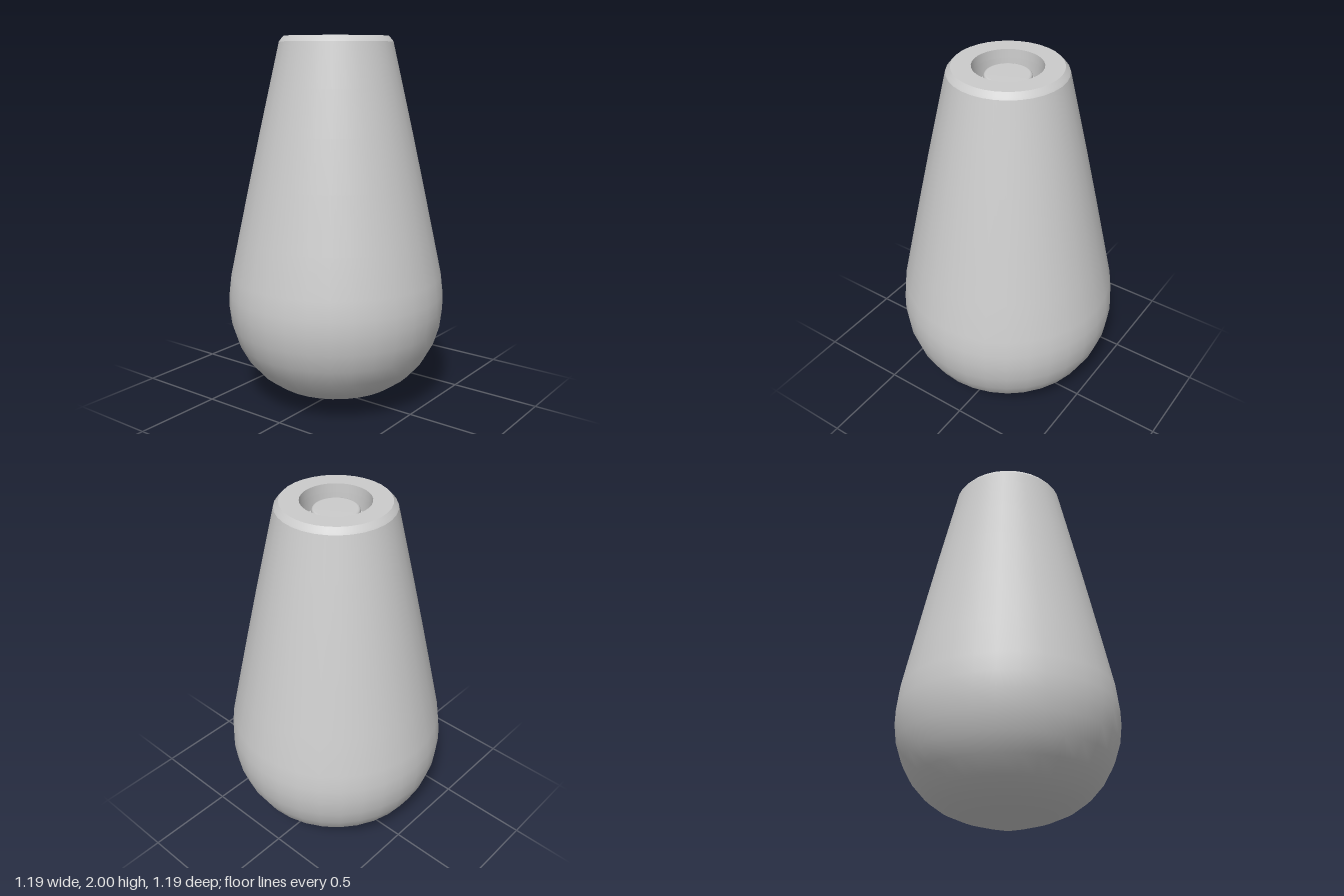
import * as THREE from 'three';

const SEGMENTS = 32;

export function createModel() {
  const group = new THREE.Group();
  const material = new THREE.MeshStandardMaterial({ color: 0xcccccc, side: THREE.DoubleSide });

  // Spin a profile of [radius, height] pairs about the vertical axis
  function lathe(name, profile) {
    const points = profile.map(([r, y]) => new THREE.Vector2(r, y));
    const mesh = new THREE.Mesh(new THREE.LatheGeometry(points, SEGMENTS), material);
    mesh.name = name;
    group.add(mesh);
  }

  // Rounded base with a shallow point, widest low down, tapering to the neck
  lathe('body', [
    [0, 0], [0.13, 0.032], [0.25, 0.066], [0.35, 0.11], [0.43, 0.168], [0.5, 0.248],
    [0.55, 0.34], [0.582, 0.44], [0.594, 0.54], [0.592, 0.62], [0.58, 0.72],
    [0.535, 0.93], [0.47, 1.23], [0.41, 1.5], [0.355, 1.74], [0.302, 1.97],
  ]);

  // Separate bands keep the edges of the neck crisp
  lathe('neckBevel', [[0.302, 1.97], [0.295, 1.98], [0.277, 2]]);
  lathe('topRim', [[0.277, 2], [0.178, 2]]);

  // Socket sunk into the top
  lathe('socketLip', [[0.178, 2], [0.176, 1.954]]);
  lathe('socketWall', [[0.176, 1.954], [0.174, 1.88]]);
  lathe('socketFloor', [[0.174, 1.88], [0.11, 1.87]]);

  // Round-edged plug in the middle of the socket
  lathe('plug', [
    [0.12, 1.87], [0.12, 1.94], [0.118, 1.95], [0.113, 1.956], [0.105, 1.958], [0, 1.958],
  ]);

  return group;
}
